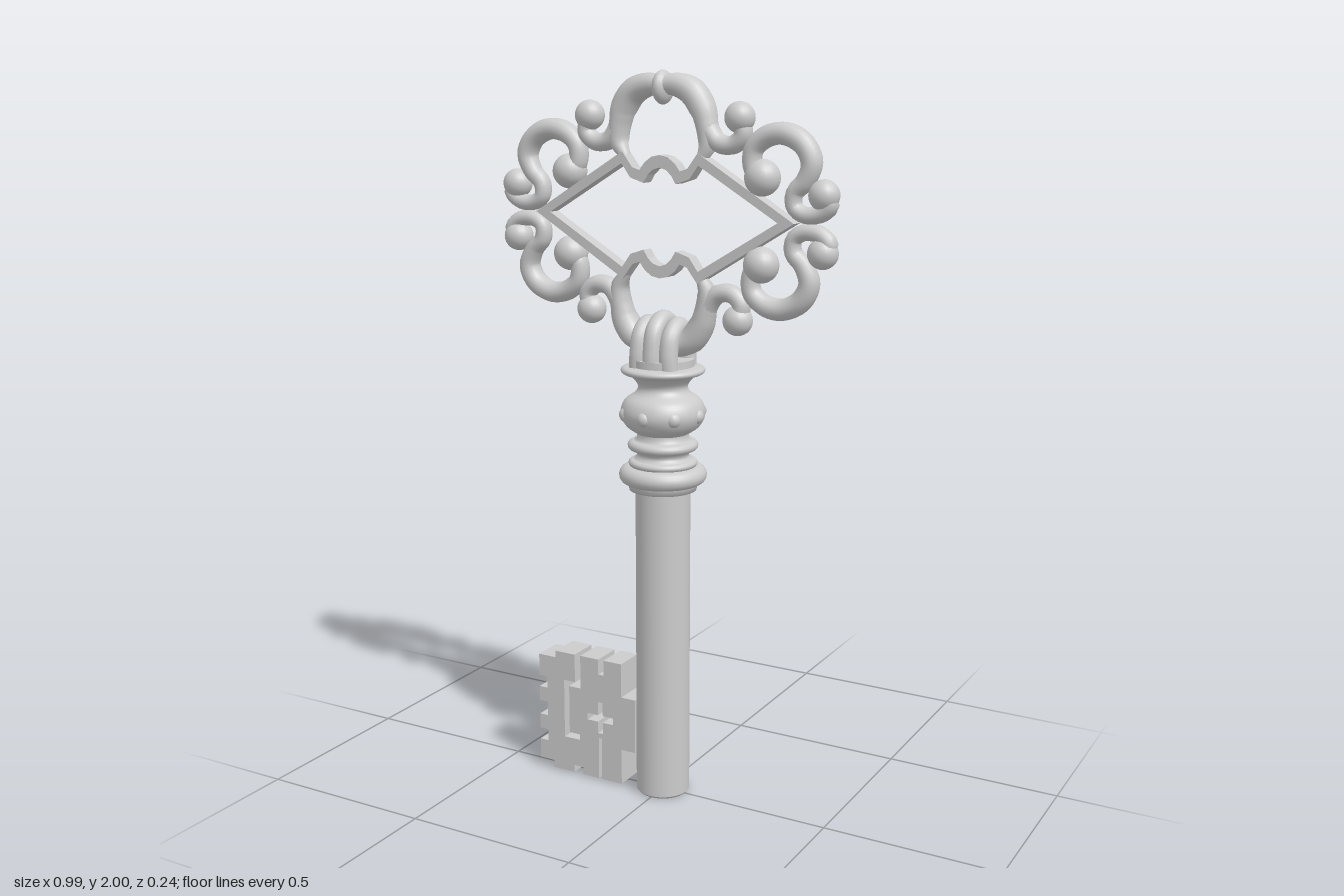
import * as THREE from 'three';

const MID = 1.625; // height of the bow's centre line
const material = new THREE.MeshStandardMaterial({ color: 0xcccccc });

function add(parent, name, geometry, x = 0, y = 0, z = 0) {
  const mesh = new THREE.Mesh(geometry, material);
  mesh.name = name;
  mesh.position.set(x, y, z);
  parent.add(mesh);
  return mesh;
}

// Tube whose radius follows a list of values along its length
function taperedTube(points, radii, segments = 56) {
  const path = new THREE.CatmullRomCurve3(points);
  const geometry = new THREE.TubeGeometry(path, segments, 1, 14);
  const pos = geometry.attributes.position;
  const v = new THREE.Vector3();
  for (let i = 0; i <= segments; i++) {
    const centre = path.getPointAt(i / segments);
    const t = (i / segments) * (radii.length - 1);
    const k = Math.min(Math.floor(t), radii.length - 2);
    const r = THREE.MathUtils.lerp(radii[k], radii[k + 1], t - k);
    for (let j = 0; j <= 14; j++) {
      const n = i * 15 + j;
      v.fromBufferAttribute(pos, n).sub(centre).multiplyScalar(r).add(centre);
      pos.setXYZ(n, v.x, v.y, v.z);
    }
  }
  return geometry;
}

function ball(parent, name, x, y, r) {
  add(parent, name, new THREE.SphereGeometry(r, 20, 14), x, y);
}

// One quarter of the scrollwork, mirrored through its points
function scrollQuarter(sx, sy) {
  const g = new THREE.Group();
  g.name = 'scrollwork';
  const at = (list) => list.map(([x, d]) => new THREE.Vector3(sx * x, MID + sy * d, 0));
  const tube = (name, list, radii) => {
    add(g, name, taperedTube(at(list), radii)).scale.z = 1.18;
  };
  tube('sideScroll', [
    [0.285, 0.11], [0.262, 0.13], [0.262, 0.18], [0.3, 0.213], [0.35, 0.22], [0.4, 0.195],
    [0.422, 0.15], [0.405, 0.105], [0.377, 0.075], [0.377, 0.04], [0.405, 0.022],
    [0.45, 0.026], [0.475, 0.05], [0.457, 0.073],
  ], [0.024, 0.025, 0.028, 0.029, 0.028, 0.024, 0.021, 0.022, 0.022]);
  tube('crestScroll', [
    [0, 0.337], [0.045, 0.337], [0.088, 0.318], [0.118, 0.275], [0.135, 0.225],
    [0.165, 0.193], [0.205, 0.19], [0.232, 0.215], [0.225, 0.255],
  ], [0.024, 0.031, 0.036, 0.035, 0.028, 0.025, 0.024, 0.024, 0.022]);
  tube('crestSpur', [[0.115, 0.28], [0.13, 0.23], [0.132, 0.19], [0.115, 0.155]],
    [0.03, 0.029, 0.026, 0.014]);
  for (const [x, d, r] of [[0.287, 0.11, 0.047], [0.457, 0.072, 0.04], [0.222, 0.258, 0.04]]) {
    ball(g, 'scrollEnd', sx * x, MID + sy * d, r);
  }
  return g;
}

// Closed outline from one quadrant running from the x axis to the y axis
function mirrored(quad) {
  const up = [...quad, ...quad.slice(0, -1).reverse().map(([x, y]) => [-x, y])];
  const down = up.slice(1, -1).reverse().map(([x, y]) => [x, -y]);
  return [...up, ...down].map(([x, y]) => new THREE.Vector2(x, y + MID));
}

function buildBow() {
  const bow = new THREE.Group();
  bow.name = 'bow';
  for (const sx of [1, -1]) for (const sy of [1, -1]) bow.add(scrollQuarter(sx, sy));

  // Diamond frame with a small arch at top and bottom
  const frame = new THREE.Shape(mirrored([
    [0.385, 0], [0.112, 0.167], [0.082, 0.127], [0.06, 0.12], [0.045, 0.14], [0.024, 0.155], [0, 0.16],
  ]));
  frame.holes.push(new THREE.Path(mirrored([
    [0.34, 0], [0.114, 0.136], [0.088, 0.1], [0.048, 0.087], [0.035, 0.108], [0.02, 0.122], [0, 0.128],
  ])));
  add(bow, 'diamondFrame', new THREE.ExtrudeGeometry(frame, { depth: 0.04, bevelEnabled: false }), 0, 0, -0.02);

  // Tie around the crest
  add(bow, 'crestTie', new THREE.SphereGeometry(1, 20, 14), 0, 1.956).scale.set(0.024, 0.044, 0.043);
  return bow;
}

// Three loops holding the bow to the collar
function buildLoops() {
  const loops = new THREE.Group();
  loops.name = 'bowLoops';
  for (const [x, top, w] of [[-0.045, 1.34, 0.05], [0, 1.355, 0.058], [0.045, 1.34, 0.05]]) {
    const pts = [[w, 1.21], [w, 1.27], [w * 0.75, top - 0.025], [0, top],
      [-w * 0.75, top - 0.025], [-w, 1.27], [-w, 1.21]];
    const path = pts.map(([z, y]) => new THREE.Vector3(x * (y > 1.25 ? 1 : 1.05), y, z));
    add(loops, 'loop', taperedTube(path, [0.026, 0.025, 0.026], 36));
  }
  return loops;
}

// Each inner list is a smooth run; runs meet at sharp edges
function turned(parent, name, runs) {
  for (const run of runs) {
    add(parent, name, new THREE.LatheGeometry(run.map(([r, y]) => new THREE.Vector2(r, y)), 48));
  }
}

// Half-round moulding profile
function bead(r, y, bulge, half) {
  return Array.from({ length: 9 }, (_, i) => {
    const a = -Math.PI / 2 + (i / 8) * Math.PI;
    return [r + bulge * Math.cos(a), y + half * Math.sin(a)];
  });
}

function buildCollar() {
  const collar = new THREE.Group();
  collar.name = 'collar';
  const bulb = new THREE.SplineCurve([
    [0.07, 1.045], [0.1, 1.066], [0.115, 1.1], [0.104, 1.135], [0.074, 1.158], [0.068, 1.178], [0.085, 1.2], [0.1, 1.208],
  ].map(([r, y]) => new THREE.Vector2(r, y))).getPoints(30).map((p) => [p.x, p.y]);
  turned(collar, 'collarTurning', [
    [[0.075, 0.885], [0.092, 0.888], [0.095, 0.905]],
    [[0.07, 0.905], [0.095, 0.905]],
    bead(0.095, 0.93, 0.025, 0.025),
    [[0.095, 0.955], [0.07, 0.955]],
    bead(0.08, 0.963, 0.014, 0.011),
    [[0.08, 0.974], [0.071, 0.98], [0.071, 0.99], [0.08, 0.998]],
    bead(0.08, 1.012, 0.016, 0.014),
    [[0.08, 1.026], [0.07, 1.03], [0.07, 1.045]],
    bulb,
    bead(0.1, 1.218, 0.014, 0.01),
    [[0.1, 1.228], [0.085, 1.23]],
    [[0.085, 1.23], [0.085, 1.25]],
    [[0.085, 1.25], [0, 1.25]],
  ]);
  // Ring of studs on the bulb
  for (let i = 0; i < 8; i++) {
    const a = (i * Math.PI) / 4;
    add(collar, 'stud', new THREE.SphereGeometry(0.022, 14, 10), 0.1 * Math.sin(a), 1.1, 0.1 * Math.cos(a));
  }
  return collar;
}

function buildShaft() {
  const shaft = new THREE.Group();
  shaft.name = 'shaft';
  turned(shaft, 'hollowShaft', [
    [[0, 0.5], [0.055, 0.5]],
    [[0.055, 0.5], [0.055, 0.005]],
    [[0.055, 0.005], [0.06, 0], [0.07, 0], [0.075, 0.006]],
    [[0.075, 0.006], [0.075, 0.9]],
  ]);
  return shaft;
}

// Toothed bit with a bent slit and a cross-shaped ward
function buildBit() {
  const vec = (list) => list.map(([x, y]) => new THREE.Vector2(x, y));
  const shape = new THREE.Shape(vec([
    [-0.11, 0.005], [-0.11, 0.11], [-0.065, 0.11], [-0.065, 0.27], [-0.11, 0.27], [-0.11, 0.37],
    [-0.168, 0.37], [-0.168, 0.325], [-0.186, 0.325], [-0.186, 0.37], [-0.246, 0.37], [-0.246, 0.27],
    [-0.285, 0.27], [-0.285, 0.127], [-0.25, 0.127], [-0.25, 0.11], [-0.302, 0.11], [-0.302, 0.286],
    [-0.265, 0.286], [-0.265, 0.37], [-0.33, 0.37], [-0.33, 0.35], [-0.387, 0.35],
    [-0.387, 0.286], [-0.36, 0.286], [-0.36, 0.25], [-0.387, 0.25], [-0.387, 0.207],
    [-0.36, 0.207], [-0.36, 0.164], [-0.387, 0.164], [-0.387, 0.12], [-0.36, 0.12], [-0.36, 0.085],
    [-0.387, 0.085], [-0.387, 0.027], [-0.34, 0.027], [-0.34, 0.005], [-0.27, 0.005], [-0.27, 0.027],
    [-0.24, 0.027], [-0.24, 0.005], [-0.186, 0.005], [-0.186, 0.13], [-0.176, 0.13], [-0.176, 0.005],
  ]));
  shape.holes.push(new THREE.Path(vec([
    [-0.188, 0.145], [-0.172, 0.145], [-0.172, 0.18], [-0.138, 0.18], [-0.138, 0.2], [-0.172, 0.2],
    [-0.172, 0.24], [-0.188, 0.24], [-0.188, 0.2], [-0.223, 0.2], [-0.223, 0.18], [-0.188, 0.18],
  ])));
  const bit = new THREE.Group();
  bit.name = 'bit';
  add(bit, 'toothedBit', new THREE.ExtrudeGeometry(shape, { depth: 0.092, bevelEnabled: false }), 0, 0, -0.046);
  return bit;
}

export function createModel() {
  const key = new THREE.Group();
  key.name = 'key';
  key.add(buildBow(), buildLoops(), buildCollar(), buildShaft(), buildBit());
  return key;
}
